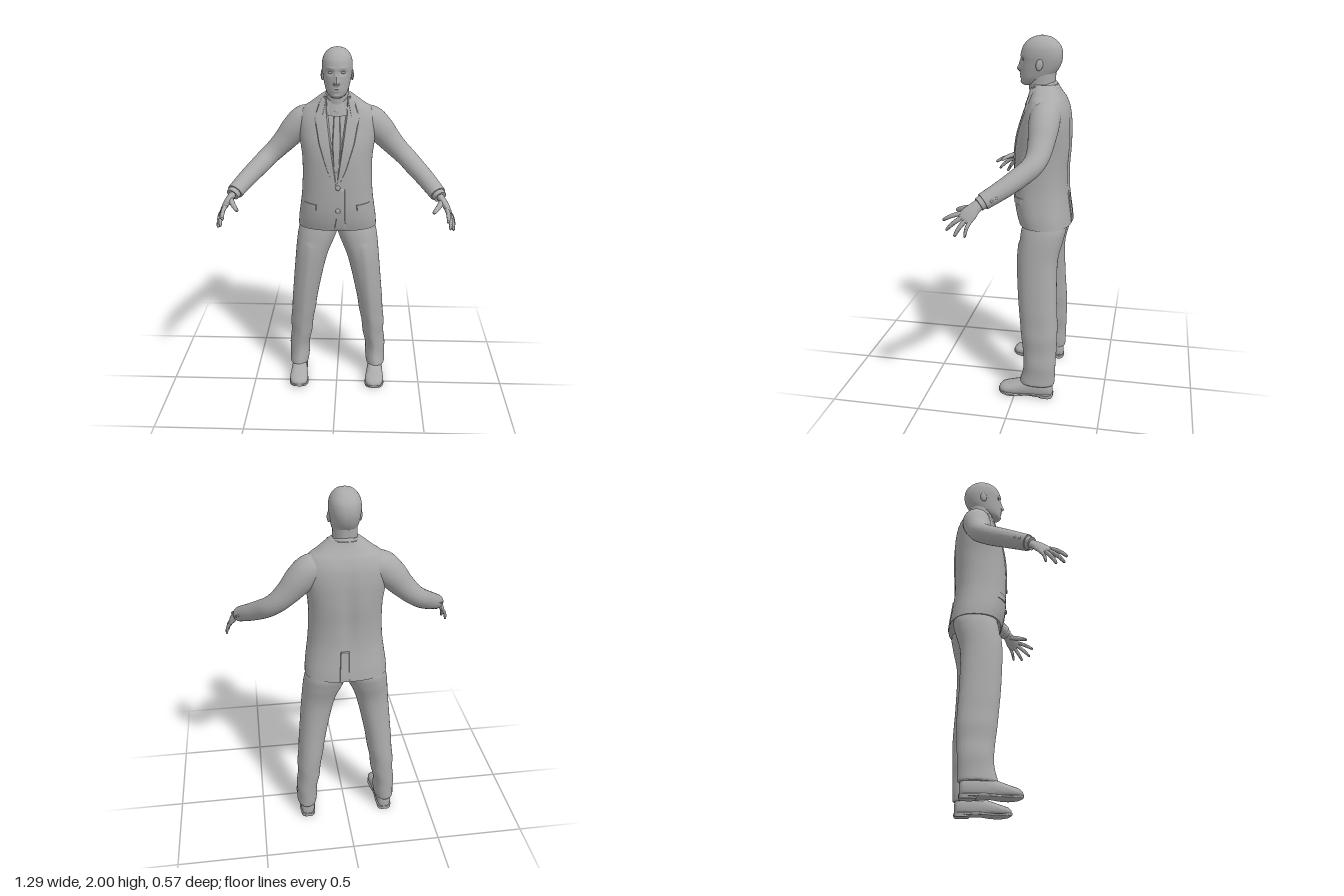
import * as THREE from 'three';
import { toCreasedNormals } from 'three/addons/utils/BufferGeometryUtils.js';

const V = (x, y, z) => new THREE.Vector3(x, y, z);
const grey = new THREE.MeshStandardMaterial({ color: 0xaaaaaa, side: THREE.DoubleSide });
grey.name = 'stone grey';
const bump = (d, w) => Math.exp(-((d / w) ** 2));

// Smoothly resample a list of number rows
function resample(rows, n) {
  const out = [];
  for (let i = 0; i <= n; i++) {
    const f = (i / n) * (rows.length - 1), k = Math.min(Math.floor(f), rows.length - 2), t = f - k;
    const [p, a, b, q] = [-1, 0, 1, 2].map(o => rows[Math.min(Math.max(k + o, 0), rows.length - 1)]);
    out.push(a.map((_, j) => a[j] + 0.5 * t * (b[j] - p[j] +
      t * (2 * p[j] - 5 * a[j] + 4 * b[j] - q[j] + t * (3 * (a[j] - b[j]) + q[j] - p[j])))));
  }
  return out;
}

// Horizontal section: height, x range, z range -> [cx, cy, cz, depth radius, width radius]
const ring = (y, x0, x1, zf, zb) => [(x0 + x1) / 2, y, (zf + zb) / 2, (zf - zb) / 2, (x1 - x0) / 2];

// Closed skin over superellipse sections; v is found from the path direction when not given
function loft(sections, { u = V(0, 0, 1), v = null, n = 2, rows = 40, cols = 40, deform = null } = {}) {
  const s = resample(sections, rows), pos = [], idx = [];
  const at = i => V(...s[Math.min(Math.max(i, 0), rows)].slice(0, 3));
  const se = c => Math.sign(c) * Math.abs(c) ** (2 / n);
  for (let i = 0; i <= rows; i++) {
    const c = at(i), t = at(i + 1).sub(at(i - 1)).normalize();
    const uu = v ? u : u.clone().addScaledVector(t, -u.dot(t)).normalize();
    const vv = v || t.clone().cross(uu);
    for (let j = 0; j < cols; j++) {
      const th = (j / cols) * Math.PI * 2;
      const p = c.clone().addScaledVector(uu, s[i][3] * se(Math.cos(th))).addScaledVector(vv, s[i][4] * se(Math.sin(th)));
      if (deform) deform(p);
      pos.push(p.x, p.y, p.z);
    }
  }
  const end = (rows + 1) * cols;
  for (const c of [at(0), at(rows)]) { if (deform) deform(c); pos.push(c.x, c.y, c.z); }
  for (let j = 0; j < cols; j++) {
    const k = (j + 1) % cols, L = rows * cols;
    for (let i = 0; i < rows; i++) {
      const a = i * cols + j, b = i * cols + k;
      idx.push(a, b, b + cols, a, b + cols, a + cols);
    }
    idx.push(end, k, j, end + 1, L + j, L + k);
  }
  return finish(pos, idx);
}

function finish(pos, idx) {
  const g = new THREE.BufferGeometry();
  g.setAttribute('position', new THREE.Float32BufferAttribute(pos, 3));
  g.setIndex(idx);
  return toCreasedNormals(g, 0.9);
}

const upright = { u: V(0, 0, 1), v: V(1, 0, 0) };

// Jacket body sections: height, half width, front z, back z
const bodyRows = resample([
  [0.995, 0.224, 0.008, -0.284], [1.05, 0.22, 0.024, -0.278], [1.12, 0.21, 0.035, -0.268],
  [1.2, 0.2, 0.038, -0.26], [1.3, 0.195, 0.038, -0.26], [1.4, 0.196, 0.034, -0.267],
  [1.48, 0.206, 0.022, -0.268], [1.55, 0.215, 0.002, -0.265], [1.62, 0.215, -0.022, -0.254],
  [1.67, 0.19, -0.042, -0.235], [1.7, 0.148, -0.05, -0.217], [1.73, 0.108, -0.055, -0.2],
  [1.75, 0.08, -0.06, -0.192]], 78);
const bodyN = 2.4;
function bodyZ(x, y, side) {
  let k = bodyRows.findIndex(r => r[0] >= y);
  k = k < 1 ? (k === 0 ? 1 : bodyRows.length - 1) : k;
  const a = bodyRows[k - 1], b = bodyRows[k], t = (y - a[0]) / (b[0] - a[0]);
  const [, w, f, r] = a.map((q, j) => q + (b[j] - q) * t);
  const h = Math.max(0, 1 - Math.abs(x / w) ** bodyN) ** (1 / bodyN);
  return (f + r) / 2 + side * h * (f - r) / 2;
}

// Raised cloth panel between two [x, y] polylines, following the jacket surface
function panel(left, right, lift, side = 1) {
  const R = 36, C = 10, pos = [], idx = [];
  const along = (line, t) => {
    const f = t * (line.length - 1), k = Math.min(Math.floor(f), line.length - 2);
    return line[k].map((q, j) => q + (line[k + 1][j] - q) * (f - k));
  };
  for (let i = 0; i <= R; i++) for (let j = 0; j <= C; j++) {
    const a = along(left, i / R), b = along(right, i / R), s = j / C;
    const x = a[0] + (b[0] - a[0]) * s, y = a[1] + (b[1] - a[1]) * s;
    const rim = i === 0 || i === R || j === 0 || j === C;
    pos.push(x, y, bodyZ(x, y, side) + side * (rim ? -0.006 : lift));
    if (i < R && j < C) {
      const q = i * (C + 1) + j;
      idx.push(q, q + C + 1, q + C + 2, q, q + C + 2, q + 1);
    }
  }
  return finish(pos, idx);
}

export function createModel() {
  const model = new THREE.Group();
  model.name = 'manInSuit';
  const add = (name, g) => {
    const m = new THREE.Mesh(g, grey);
    m.name = name;
    model.add(m);
    return m;
  };
  // Adds a left part and its mirrored right twin
  const pair = (name, g) => {
    add(name + 'Left', g);
    const m = g.clone().index ? g.toNonIndexed() : g.clone();
    m.scale(-1, 1, 1);
    for (const key of ['position', 'normal']) {
      const at = m.attributes[key];
      for (let i = 0; i < at.count; i += 3) {
        const p = V().fromBufferAttribute(at, i + 1), q = V().fromBufferAttribute(at, i + 2);
        at.setXYZ(i + 1, q.x, q.y, q.z);
        at.setXYZ(i + 2, p.x, p.y, p.z);
      }
    }
    add(name + 'Right', m);
  };
  const ball = (x, y, z, a, b, c) => new THREE.SphereGeometry(1, 20, 14).scale(a, b, c).translate(x, y, z);

  // Jacket body, with a sunken shirt opening and a hollow down the spine
  add('jacketBody', loft(bodyRows.map(([y, w, f, b]) => ring(y, -w, w, f, b)), {
    ...upright, n: bodyN, rows: 78, cols: 112, deform: p => {
      const open = (p.y - 1.3) * 0.17;
      if (p.z > -0.1 && p.y > 1.3 && p.y < 1.74 && Math.abs(p.x) < open) p.z -= 0.008;
      if (p.z < -0.15) p.z += 0.012 * bump(p.x, 0.04) * bump(p.y - 1.38, 0.2);
    } }));
  pair('lapel', panel(
    [[0.055, 1.725], [0.05, 1.66], [0.03, 1.5], [0.012, 1.36], [0, 1.26]],
    [[0.09, 1.72], [0.125, 1.635], [0.1, 1.5], [0.055, 1.36], [0.006, 1.255]], 0.007));
  pair('collarNotchFlap', panel([[0.055, 1.735], [0.075, 1.64]], [[0.088, 1.735], [0.115, 1.66]], 0.012));
  add('tie', panel([[-0.016, 1.655], [-0.024, 1.5], [-0.014, 1.34]], [[0.016, 1.655], [0.024, 1.5], [0.014, 1.34]], 0.002));
  add('tieKnot', loft([[0, 1.645, -0.033, 0.008, 0.01], [0, 1.67, -0.038, 0.014, 0.018], [0, 1.695, -0.048, 0.01, 0.02]],
    { ...upright, rows: 10, cols: 20 }));
  pair('shirtCollarWing', panel([[0.008, 1.7], [0.03, 1.64]], [[0.062, 1.742], [0.055, 1.68]], 0.008));
  add('frontOverlap', panel([[-0.004, 1.26], [-0.004, 1.08], [-0.02, 0.998]], [[0.05, 1.26], [0.05, 1.08], [0.06, 0.998]], 0.003));
  for (const y of [1.26, 1.125]) add('jacketButton', ball(0.008, y, bodyZ(0, y, 1) + 0.006, 0.014, 0.014, 0.007));
  pair('pocketFlap', panel([[0.105, 1.155], [0.11, 1.12]], [[0.19, 1.16], [0.19, 1.12]], 0.006));
  add('backVentFlap', panel([[-0.004, 1.17], [-0.006, 0.998]], [[0.045, 1.17], [0.055, 0.998]], 0.004, -1));

  // Collar band, higher at the nape
  add('jacketCollar', loft([ring(1.675, -0.1, 0.1, -0.02, -0.195), ring(1.71, -0.088, 0.088, -0.03, -0.192),
    ring(1.74, -0.074, 0.074, -0.04, -0.186), ring(1.747, -0.064, 0.064, -0.045, -0.178)],
    { ...upright, rows: 14, cols: 48, deform: p => { p.y -= (p.z + 0.12) * 0.32; } }));
  add('neck', loft([ring(1.66, -0.07, 0.07, -0.04, -0.175), ring(1.73, -0.064, 0.064, -0.035, -0.175),
    ring(1.82, -0.062, 0.062, -0.03, -0.18)], { ...upright, rows: 16 }));

  // Head with modelled face
  add('head', loft([
    ring(1.742, -0.018, 0.018, -0.006, -0.05), ring(1.754, -0.043, 0.043, 0.005, -0.1),
    ring(1.78, -0.06, 0.06, 0.009, -0.15), ring(1.82, -0.071, 0.071, 0.01, -0.187),
    ring(1.86, -0.078, 0.078, 0.009, -0.207), ring(1.9, -0.082, 0.082, 0.009, -0.213),
    ring(1.94, -0.078, 0.078, -0.001, -0.205), ring(1.97, -0.063, 0.063, -0.024, -0.182),
    ring(1.99, -0.04, 0.04, -0.055, -0.153), ring(2, -0.007, 0.007, -0.095, -0.113)], {
    ...upright, n: 2.15, rows: 90, cols: 96, deform: p => {
      if (p.z < -0.07) return;
      const x = Math.abs(p.x), y = p.y;
      p.z += 0.019 * bump(x, 0.013) * bump(y - 1.826, 0.015) + 0.011 * bump(x, 0.01) * bump(y - 1.853, 0.022)
        - 0.012 * bump(x - 0.033, 0.016) * bump(y - 1.878, 0.011) + 0.004 * bump(x - 0.03, 0.025) * bump(y - 1.899, 0.008)
        + 0.007 * bump(x, 0.024) * bump(y - 1.79, 0.011) - 0.006 * bump(x, 0.024) * bump(y - 1.79, 0.003)
        + 0.005 * bump(x, 0.02) * bump(y - 1.757, 0.009);
    } }));
  pair('eye', ball(0.033, 1.878, -0.012, 0.012, 0.007, 0.01));
  pair('nostril', ball(0.011, 1.82, 0.012, 0.007, 0.006, 0.009));
  pair('ear', ball(0, 0, 0, 0.009, 0.031, 0.019).rotateX(-0.2).rotateY(0.25).translate(0.079, 1.855, -0.102));

  // Sleeves, shirt cuffs and cuff buttons
  pair('sleeve', loft([
    [0.1, 1.605, -0.15, 0.066, 0.075], [0.175, 1.598, -0.15, 0.083, 0.08], [0.235, 1.55, -0.15, 0.078, 0.078],
    [0.29, 1.488, -0.148, 0.066, 0.068], [0.345, 1.432, -0.14, 0.057, 0.061], [0.39, 1.392, -0.118, 0.053, 0.057],
    [0.43, 1.356, -0.075, 0.052, 0.054], [0.49, 1.305, 0, 0.048, 0.05], [0.55, 1.25, 0.092, 0.042, 0.046]],
    { u: V(0, 1, 0), rows: 48 }));
  pair('shirtCuff', loft([[0.54, 1.259, 0.077, 0.035, 0.038], [0.562, 1.239, 0.11, 0.034, 0.037]], { u: V(0, 1, 0), rows: 4 }));
  for (const t of [0, 1, 2])
    pair('cuffButton', ball(0.571 - t * 0.014, 1.262 + t * 0.013, 0.045 - t * 0.021, 0.008, 0.008, 0.008));

  // Hands: palm, four fingers and thumb
  const across = V(0.36, -0.515, -0.77);
  pair('palm', loft([[0.545, 1.255, 0.085, 0.027, 0.02], [0.572, 1.226, 0.124, 0.031, 0.019],
    [0.592, 1.198, 0.152, 0.041, 0.017], [0.606, 1.173, 0.174, 0.04, 0.012], [0.61, 1.166, 0.18, 0.03, 0.006]],
    { u: across, rows: 20, cols: 24 }));
  const finger = (name, base, tip, r) => {
    const p = t => base.clone().lerp(tip, t).add(V(0.006, 0.005, 0.004).multiplyScalar(4 * t * (1 - t))).toArray();
    pair(name, loft([[0, 1], [0.35, 1], [0.65, 0.88], [0.88, 0.72], [0.97, 0.5], [1, 0.1]]
      .map(([t, k]) => [...p(t), r * k, r * k]), { u: across, rows: 20, cols: 14 }));
  };
  const tips = [V(0.588, 1.156, 0.286), V(0.606, 1.11, 0.267), V(0.628, 1.088, 0.22), V(0.637, 1.09, 0.165)];
  tips.forEach((tip, i) => finger(['index', 'middle', 'ring', 'little'][i] + 'Finger',
    V(0.6, 1.182, 0.165).addScaledVector(across, -0.031 + i * 0.0205), tip, i === 3 ? 0.0095 : 0.0115));
  finger('thumb', V(0.566, 1.222, 0.137), V(0.515, 1.188, 0.235), 0.0145);

  // Trouser legs with a soft front crease
  pair('trouserLeg', loft([
    ring(0.082, 0.18, 0.29, -0.036, -0.224), ring(0.1, 0.178, 0.294, -0.038, -0.228), ring(0.2, 0.17, 0.29, -0.055, -0.231),
    ring(0.4, 0.14, 0.279, -0.033, -0.236), ring(0.6, 0.106, 0.263, -0.014, -0.226), ring(0.8, 0.06, 0.245, -0.004, -0.224),
    ring(0.92, 0.012, 0.233, -0.01, -0.25), ring(0.99, -0.01, 0.218, -0.02, -0.262), ring(1.06, -0.01, 0.19, -0.04, -0.24)], {
    ...upright, n: 2.2, rows: 56, cols: 56, deform: p => {
      const cx = 0.235 - 0.1 * Math.max(0, p.y - 0.1);
      if (p.z > -0.1 && p.y < 0.9) p.z += 0.006 * bump(p.x - cx, 0.02);
      p.x += 0.003 * Math.sin(p.y * 38) * bump(p.y - 0.25, 0.2);
    } }));

  // Shoes: sections run heel to toe as [x, y, z, half width, half height]
  const along = { u: V(1, 0, 0), v: V(0, 1, 0) };
  pair('shoeUpper', loft([
    [0.234, 0.045, -0.217, 0.012, 0.025], [0.234, 0.052, -0.205, 0.034, 0.048], [0.234, 0.055, -0.16, 0.043, 0.055],
    [0.233, 0.053, -0.09, 0.045, 0.055], [0.231, 0.045, -0.03, 0.05, 0.045], [0.229, 0.036, 0.03, 0.055, 0.033],
    [0.228, 0.032, 0.07, 0.046, 0.024], [0.228, 0.03, 0.088, 0.025, 0.013], [0.228, 0.03, 0.093, 0.006, 0.004]],
    { ...along, n: 2.3, rows: 40, deform: p => { p.y = Math.max(p.y, 0.014); } }));
  pair('shoeSole', loft([
    [0.234, 0.015, -0.22, 0.018, 0.008], [0.234, 0.015, -0.2, 0.039, 0.008], [0.234, 0.016, -0.14, 0.046, 0.008],
    [0.232, 0.017, -0.08, 0.044, 0.008], [0.23, 0.011, -0.02, 0.053, 0.008], [0.229, 0.01, 0.03, 0.058, 0.008],
    [0.228, 0.014, 0.072, 0.047, 0.008], [0.228, 0.019, 0.092, 0.024, 0.007], [0.228, 0.021, 0.096, 0.008, 0.005]],
    { ...along, n: 5, rows: 40 }));
  pair('shoeHeel', loft([ring(0, 0.194, 0.274, -0.135, -0.218), ring(0.016, 0.192, 0.276, -0.132, -0.219)],
    { ...upright, n: 3, rows: 2 }));

  return model;
}
